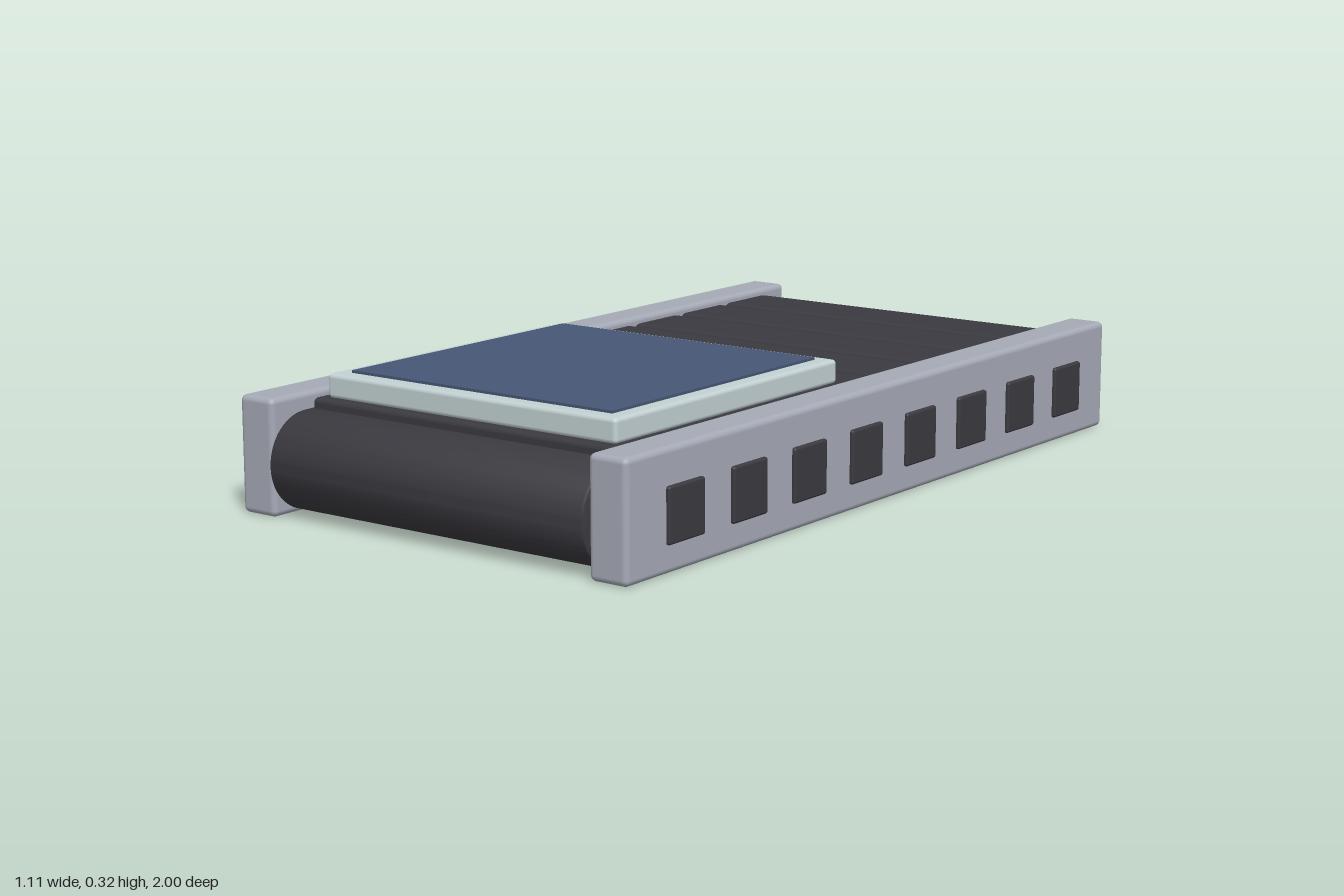
import * as THREE from 'three';
import { toCreasedNormals } from 'three/addons/utils/BufferGeometryUtils.js';
import { RoundedBoxGeometry } from 'three/addons/geometries/RoundedBoxGeometry.js';

const paint = (name, color) => {
  const m = new THREE.MeshStandardMaterial({ color });
  m.name = name;
  return m;
};

export function createModel() {
  const steel = paint('rail grey', 0xa6aab6);
  const rubber = paint('belt black', 0x3a3a40);
  const trim = paint('pale frame', 0xc3d1d3);
  const glass = paint('slate blue', 0x465674);

  const model = new THREE.Group();
  model.name = 'conveyor';

  const add = (name, geometry, material, x, y, z, parent = model) => {
    const mesh = new THREE.Mesh(geometry, material);
    mesh.name = name;
    mesh.position.set(x, y, z);
    parent.add(mesh);
    return mesh;
  };

  // Belt loop: a long stadium profile swept across the width
  const bevel = 0.008;
  const r = 0.113 - bevel;
  const end = 1 - 0.113;
  const profile = new THREE.Shape();
  profile.moveTo(-end, -r);
  profile.lineTo(end, -r);
  profile.absarc(end, 0, r, -Math.PI / 2, Math.PI / 2, false);
  profile.lineTo(-end, r);
  profile.absarc(-end, 0, r, Math.PI / 2, Math.PI * 1.5, false);
  const width = 0.89 - 2 * bevel;
  const loop = new THREE.ExtrudeGeometry(profile, {
    depth: width, curveSegments: 20,
    bevelEnabled: true, bevelSize: bevel, bevelThickness: bevel, bevelSegments: 2,
  });
  loop.translate(0, 0, -width / 2);
  loop.rotateY(-Math.PI / 2);
  add('belt', toCreasedNormals(loop, 0.7), rubber, 0, 0.125, 0);

  // Raised slats along the top run
  const slats = new THREE.Group();
  slats.name = 'slats';
  model.add(slats);
  const slat = new RoundedBoxGeometry(0.874, 0.05, 0.172, 3, 0.012);
  for (let i = 0; i < 9; i++) add('slat', slat, rubber, 0, 0.237, -0.782 + i * 0.1955, slats);

  // Side rails with a row of square pads on their outer faces
  const rail = new RoundedBoxGeometry(0.1, 0.27, 1.97, 3, 0.014);
  const pad = new RoundedBoxGeometry(0.03, 0.125, 0.125, 2, 0.006);
  for (const side of [1, -1]) {
    const group = new THREE.Group();
    group.name = side > 0 ? 'leftRail' : 'rightRail';
    model.add(group);
    add('rail', rail, steel, side * 0.497, 0.14, 0, group);
    for (let i = 0; i < 8; i++) add('pad', pad, rubber, side * 0.541, 0.131, 0.79 - i * 0.2257, group);
  }

  // Flat panel riding on the belt
  const panel = new THREE.Group();
  panel.name = 'panel';
  model.add(panel);
  add('panelFrame', new RoundedBoxGeometry(0.82, 0.056, 0.82, 3, 0.01), trim, 0, 0.288, 0.435, panel);
  add('panelFace', new THREE.BoxGeometry(0.742, 0.008, 0.745), glass, 0, 0.318, 0.434, panel);

  return model;
}
